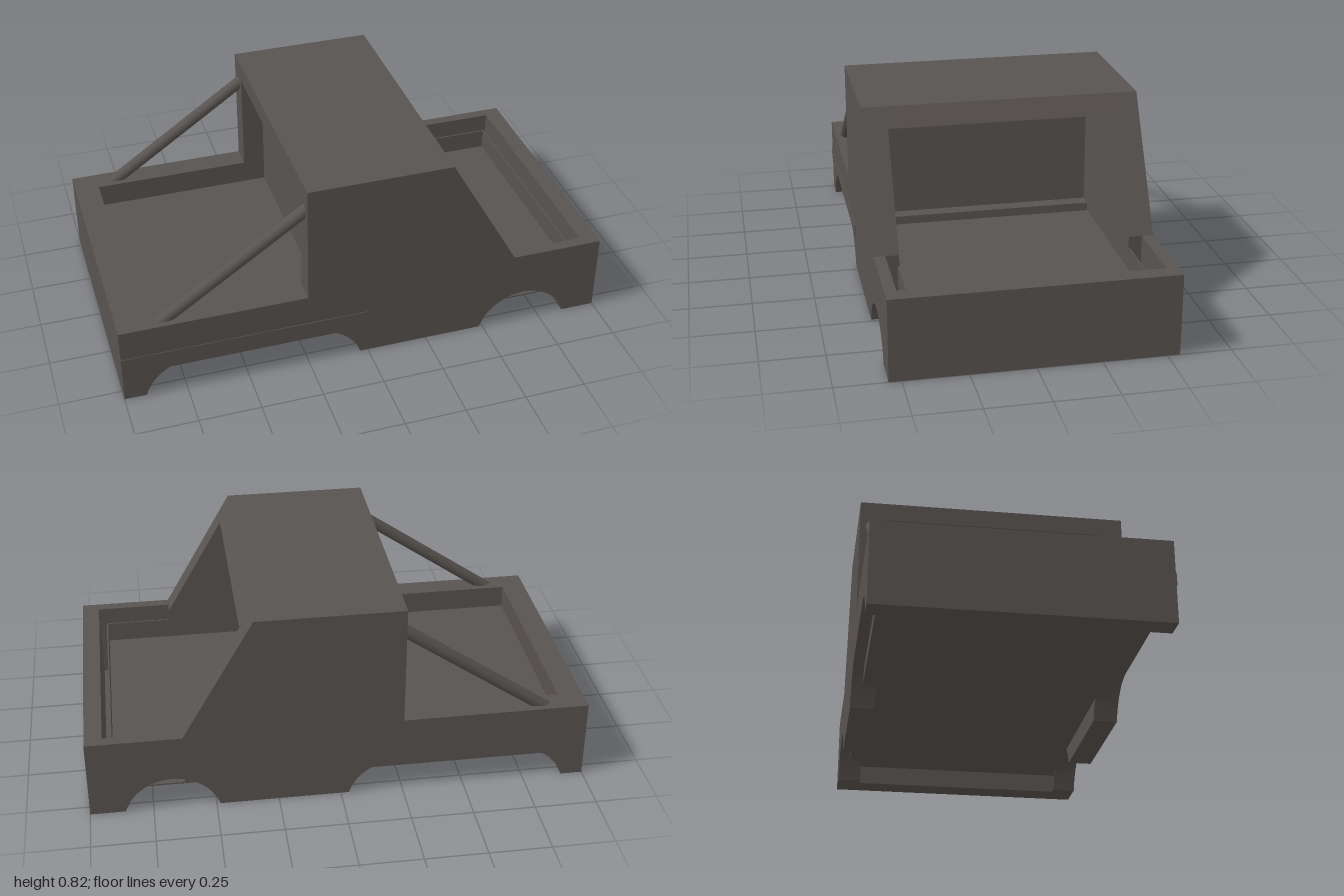
import * as THREE from 'three';

const material = new THREE.MeshStandardMaterial({ color: 0x585350 });
const DECK = 0.327;   // height of the body sides
const LINING = 0.28;  // height of the hood lining
const BELLY = 0.08;   // height of the underside
const SKIN = 0.006;   // thickness of thin panels

export function createModel() {
  const model = new THREE.Group();

  function add(name, geometry) {
    const mesh = new THREE.Mesh(geometry, material);
    mesh.name = name;
    model.add(mesh);
    return mesh;
  }

  // Box given by its lower and upper limits on each axis
  function box(name, [x0, x1], [y0, y1], [z0, z1]) {
    const g = new THREE.BoxGeometry(x1 - x0, y1 - y0, z1 - z0);
    g.translate((x0 + x1) / 2, (y0 + y1) / 2, (z0 + z1) / 2);
    return add(name, g);
  }

  // Profile in the x-y plane, extruded from z0 to z1
  function slab(name, shape, z0, z1) {
    const g = new THREE.ExtrudeGeometry(shape, { depth: z1 - z0, bevelEnabled: false, curveSegments: 16 });
    g.translate(0, 0, z0);
    return add(name, g);
  }

  // Side outline; the inner layer has flat-topped arches and a gap behind the hood lining
  function sideShape(isInner) {
    const r = 0.195, drop = -0.056;
    const angleAt = (y, radius) => Math.asin((y - drop) / radius);
    const foot = angleAt(0, r);
    const crown = isInner ? angleAt(BELLY, r) : Math.PI / 2;
    const s = new THREE.Shape();
    s.moveTo(-1, DECK);
    s.lineTo(-1, 0);
    // long rear arch, then the round front arch
    for (const [x0, x1] of [[-0.725, -0.22], [0.673, 0.673]]) {
      s.absarc(x0, drop, r, Math.PI - foot, Math.PI - crown, true);
      s.absarc(x1, drop, r, crown, foot, true);
    }
    s.lineTo(1, 0);
    s.lineTo(1, DECK);
    if (isInner) {
      // gap following the front arch
      const outer = r + SKIN;
      s.lineTo(0.93, DECK);
      s.lineTo(0.93, SKIN);
      s.absarc(0.673, drop, outer, angleAt(SKIN, outer), angleAt(BELLY + SKIN, outer), false);
      s.lineTo(0.62, BELLY + SKIN);
    }
    s.lineTo(0.622, DECK);
    s.lineTo(0.335, 0.825);
    s.lineTo(-0.25, 0.825);
    s.lineTo(-0.25, DECK);
    s.closePath();
    return s;
  }

  for (const side of [-1, 1]) {
    const label = side > 0 ? 'front' : 'back';
    const span = (a, b) => (side > 0 ? [a, b] : [-b, -a]);

    // Side wall in two layers, with the thin lining beside the hood
    slab(label + 'SideOuter', sideShape(false), ...span(0.503, 0.548));
    slab(label + 'SideInner', sideShape(true), ...span(0.45, 0.503));
    box(label + 'HoodLining', [0.62, 0.9], [BELLY, LINING], span(0.45, 0.45 + SKIN));

    // Diagonal brace from the bed rail to the cab
    const start = new THREE.Vector3(-0.885, 0.274, side * 0.5);
    const end = new THREE.Vector3(-0.21, 0.738, side * 0.5);
    const brace = add(label + 'Brace', new THREE.CylinderGeometry(0.025, 0.025, start.distanceTo(end), 20));
    brace.position.copy(start).lerp(end, 0.5);
    brace.quaternion.setFromUnitVectors(new THREE.Vector3(0, 1, 0), end.clone().sub(start).normalize());
  }

  // Roof with a sloped leading edge
  const roof = new THREE.Shape();
  roof.moveTo(-0.25, 0.748);
  roof.lineTo(0.38, 0.748);
  roof.lineTo(0.335, 0.825);
  roof.lineTo(-0.25, 0.825);
  roof.closePath();
  slab('roof', roof, -0.45, 0.45);

  // End walls and floors between the sides
  const inner = [-0.45, 0.45];
  box('tailWall', [-1, -0.9], [0, DECK], inner);
  box('noseWall', [0.93, 1], [0, DECK], inner);
  box('noseLining', [0.9 - SKIN, 0.9], [0, LINING], inner);
  box('noseGapFloor', [0.9, 0.93], [0, SKIN], inner);
  box('bedFloor', [-0.9, 0.01], [BELLY, 0.23], inner);
  box('cabFloor', [0.01, 0.9 - SKIN], [BELLY, 0.195], inner);

  // Wall between cab and bed, stopping just below the roof
  box('bulkhead', [-0.16, -0.05], [0.23, 0.735], inner);

  // Thin strip along the rear half of one side
  box('sideStrip', [-1, 0], [0.15, 0.2], [0.54, 0.551]);

  return model;
}
